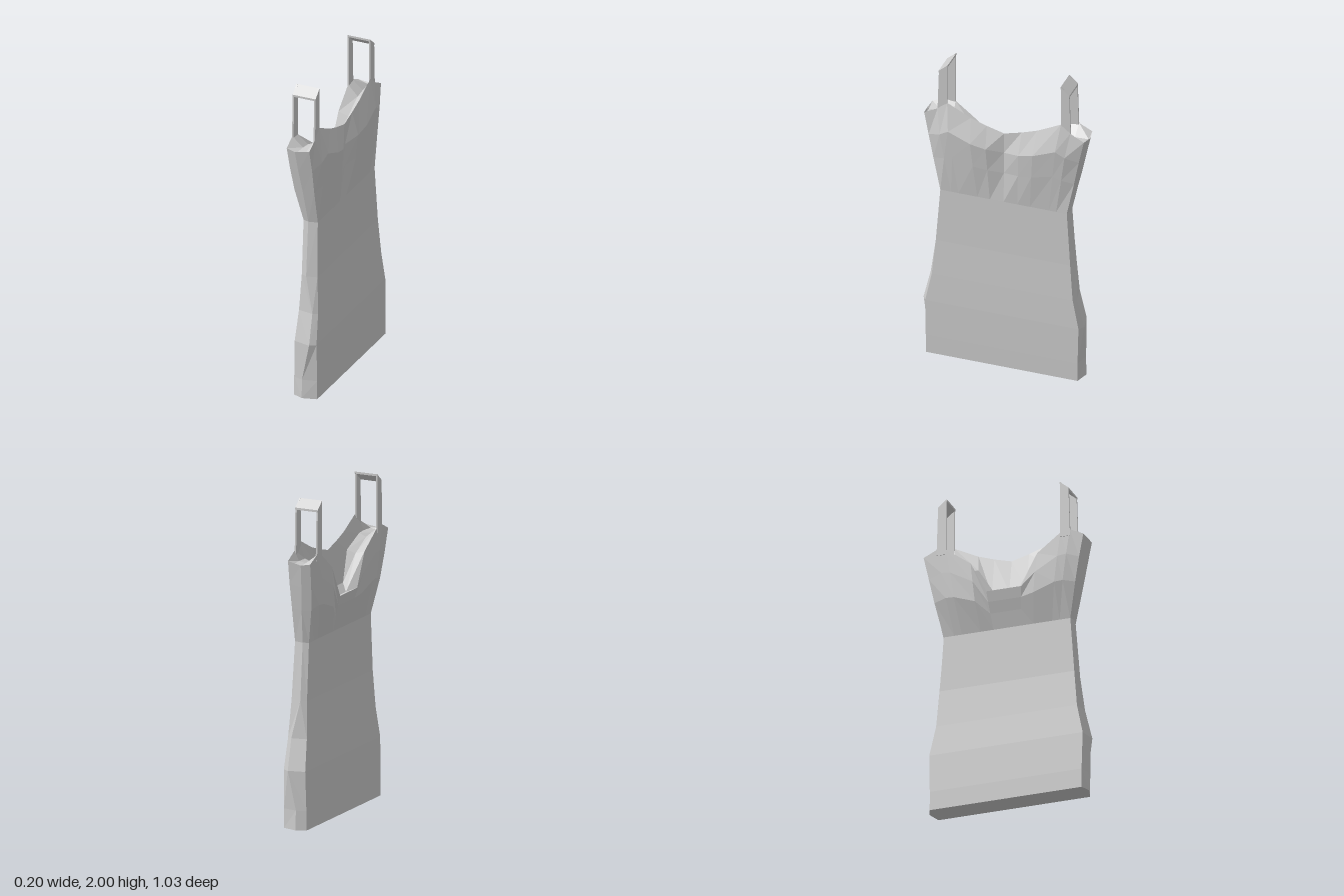
import * as THREE from 'three';

// Column positions across the half width at the top: centre, neckline, strap, shoulder corner
const COLS = [0, 0.11, 0.21, 0.36, 0.42, 0.505];
// Top heights of each column, front and back, ending at the shared underarm point
const FRONT_TOP = [1.6, 1.63, 1.665, 1.74, 1.69, 1.645];
const BACK_TOP = [1.36, 1.36, 1.56, 1.67, 1.68, 1.64];
const SIDE_TOP = 1.63;
const WAIST = 1.13;

// Sections below the bust: y, corner half width, seam half width, front x, back x, seam x
const BODY = [
  [0, 0.48, 0.505, 0.09, -0.06, 0],
  [0.12, 0.48, 0.5, 0.09, -0.06, 0],
  [0.36, 0.485, 0.508, 0.088, -0.055, 0.05],
  [0.55, 0.445, 0.462, 0.08, -0.045, 0.05],
  [0.78, 0.425, 0.442, 0.067, -0.036, 0],
  [WAIST, 0.4, 0.412, 0.057, -0.036, 0],
];
// Sections from waist to neckline: t, corner half width, seam half width, front x list, back x list, seam x
const BUST = [
  [0.42, 0.445, 0.455, [0.05, 0.075, 0.085, 0.08, 0.075, 0.055], [-0.06, -0.06, -0.088, -0.092, -0.088, -0.075], -0.015],
  [0.72, 0.475, 0.487, [0.05, 0.088, 0.1, 0.095, 0.085, 0.055], [-0.08, -0.08, -0.095, -0.098, -0.097, -0.09], -0.03],
  [1, 0.505, 0.515, [0.045, 0.045, 0.046, 0.048, 0.05, 0.05], [-0.095, -0.095, -0.092, -0.098, -0.1, -0.098], -0.04],
];

// Mirror a half row (centre to seam) into a full row from -z to +z
const mirrorRow = (half) => [
  ...half.slice(1).reverse().map(([x, y, z]) => [x, y, -z]),
  ...half,
];

function panelRows(front) {
  const tops = front ? FRONT_TOP : BACK_TOP;
  const rows = BODY.map(([y, corner, seam, fx, bx, sx]) => mirrorRow([
    ...COLS.map((c) => [front ? fx : bx, y, (c / 0.505) * corner]),
    [sx, y, seam],
  ]));
  for (const [t, corner, seam, fx, bx, sx] of BUST) {
    rows.push(mirrorRow([
      ...COLS.map((c, i) => [(front ? fx : bx)[i], WAIST + t * (tops[i] - WAIST), (c / 0.505) * corner]),
      [sx, WAIST + t * (SIDE_TOP - WAIST), seam],
    ]));
  }
  return rows;
}

// Flat-shaded surface through rows of points, dropping collapsed triangles
function gridGeometry(rows, flip) {
  const out = [];
  const tri = (a, b, c) => {
    const [A, B, C] = [a, b, c].map((p) => new THREE.Vector3(...p));
    const area = B.clone().sub(A).cross(C.clone().sub(A)).length();
    if (area > 1e-7) out.push(...a, ...(flip ? c : b), ...(flip ? b : c));
  };
  for (let i = 0; i < rows.length - 1; i++) {
    for (let j = 0; j < rows[i].length - 1; j++) {
      const a = rows[i][j], b = rows[i][j + 1], c = rows[i + 1][j], d = rows[i + 1][j + 1];
      tri(a, b, c);
      tri(b, d, c);
    }
  }
  const g = new THREE.BufferGeometry();
  g.setAttribute('position', new THREE.Float32BufferAttribute(out, 3));
  g.computeVertexNormals();
  return g;
}

// Extrude a z-y outline along x, from x0 to x1
function slab(points, x0, x1) {
  const shape = new THREE.Shape(points.map(([z, y]) => new THREE.Vector2(z, y)));
  const g = new THREE.ExtrudeGeometry(shape, { depth: x1 - x0, bevelEnabled: false });
  g.rotateY(-Math.PI / 2);
  g.translate(x1, 0, 0);
  return g;
}

export function createModel() {
  const model = new THREE.Group();
  model.name = 'camisole';
  const fabric = new THREE.MeshStandardMaterial({ color: 0xcccccc, flatShading: true });
  fabric.name = 'grey fabric';
  const add = (name, geometry, parent = model) => {
    const mesh = new THREE.Mesh(geometry, fabric);
    mesh.name = name;
    parent.add(mesh);
  };

  // Front and back panels meet along the side seams
  const front = panelRows(true);
  const back = panelRows(false);
  add('frontPanel', gridGeometry(front, true));
  add('backPanel', gridGeometry(back, false));

  // Hem closes the bottom
  add('hem', gridGeometry([back[0], front[0]], true));

  // Sunken neckline surface between the back and front top edges
  const seamPoint = [-0.04, SIDE_TOP, 0.515];
  const innerBack = mirrorRow([
    [-0.045, 1.34, 0], [-0.045, 1.34, 0.06], [-0.03, 1.54, 0.215],
    [-0.03, 1.61, 0.35], [-0.03, 1.62, 0.42], [-0.035, 1.62, 0.505], seamPoint,
  ]);
  const innerFront = mirrorRow([
    [0, 1.38, 0], [0, 1.38, 0.11], [0.02, 1.56, 0.2],
    [0.015, 1.63, 0.35], [0.02, 1.63, 0.42], [0.02, 1.625, 0.505], seamPoint,
  ]);
  add('neckline', gridGeometry([back.at(-1), innerBack, innerFront, front.at(-1)], false));

  // Shoulder straps: two legs joined by a slanted band
  for (const side of [1, -1]) {
    const strap = new THREE.Group();
    strap.name = side > 0 ? 'leftStrap' : 'rightStrap';
    model.add(strap);
    const outline = (pts) => pts.map(([z, y]) => [z * side, y]);
    const leg = outline([[0.36, 2], [0.412, 1.95], [0.422, 1.64], [0.36, 1.64]]);
    add('backLeg', slab(leg, -0.102, -0.092), strap);
    add('frontLeg', slab(leg, 0.039, 0.049), strap);
    const band = outline([[0.357, 2], [0.414, 1.953], [0.414, 1.94], [0.357, 1.987]]);
    add('shoulderBand', slab(band, -0.102, 0.049), strap);
  }
  return model;
}
